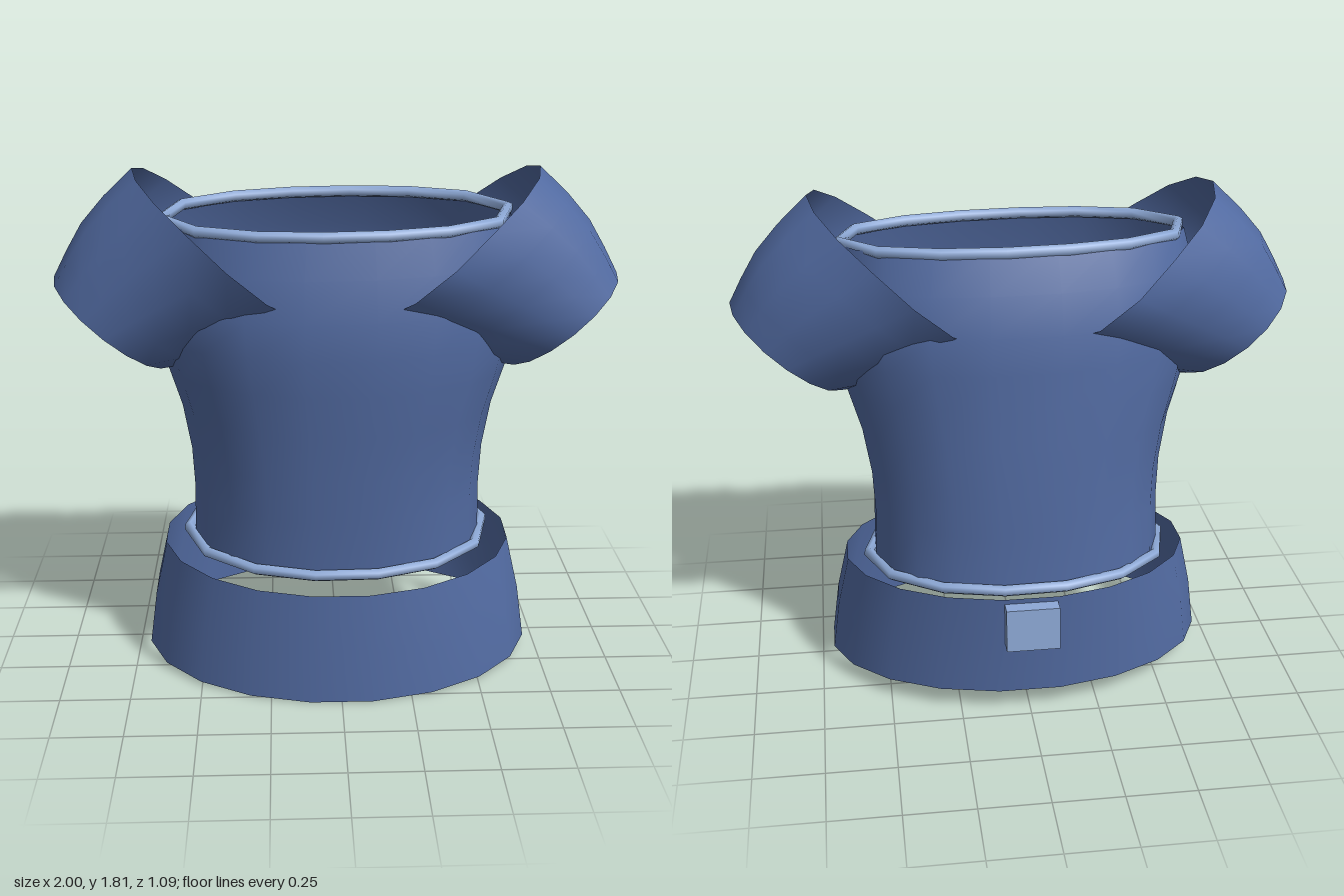
import * as THREE from 'three';

const cloth = new THREE.MeshStandardMaterial({ color: 0x526ba2, side: THREE.DoubleSide });
const trim = new THREE.MeshStandardMaterial({ color: 0x8fabd9 });

// Tilted oval ring: half width a, z range back..front, mean height y, skew turns it slightly
function oval({ y, a, front, back, n = 2, skew = 0, sides = 20 }) {
  const ring = [];
  const b = (front - back) / 2, mid = (front + back) / 2;
  const bend = (v) => Math.sign(v) * Math.pow(Math.abs(v), 2 / n);
  for (let i = 0; i < sides; i++) {
    const t = ((i + 0.5) / sides) * Math.PI * 2;
    const x = bend(Math.sin(t)) * a;
    const z = mid + bend(Math.cos(t)) * b * 1.01 + skew * x;
    ring.push(new THREE.Vector3(x, y - 0.08 * z, z));
  }
  return ring;
}

// Open smooth skin through a list of rings
function loft(rings) {
  const pos = rings.flatMap((r) => r.flatMap((p) => [p.x, p.y, p.z]));
  const index = [];
  const n = rings[0].length;
  for (let j = 0; j < rings.length - 1; j++) {
    for (let i = 0; i < n; i++) {
      const k = (i + 1) % n;
      const a = j * n + i, b = j * n + k, c = a + n, d = b + n;
      index.push(a, b, d, a, d, c);
    }
  }
  const g = new THREE.BufferGeometry();
  g.setAttribute('position', new THREE.Float32BufferAttribute(pos, 3));
  g.setIndex(index);
  g.computeVertexNormals();
  return g;
}

function piping(spec) {
  const ring = oval({ ...spec, sides: 14 });
  return new THREE.TubeGeometry(new THREE.CatmullRomCurve3(ring, true), 14, 0.021, 6, true);
}

// Sleeve: rings around a slanted axis; depth narrows each ring in z,
// flare pulls the front and back of the wide end out into pointed tips
function sleeveGeometry(side) {
  const sides = 16;
  const across = new THREE.Vector3(0.765 * side, 0.644, 0);
  const stations = [
    { x: 0.375, y: 1.53, z: 0.05, r: 0.437, depth: 0.83, flare: 0.18 },
    { x: 0.5, y: 1.452, z: 0.046, r: 0.408, depth: 0.81, flare: 0.08 },
    { x: 0.615, y: 1.385, z: 0.046, r: 0.365, depth: 0.83, flare: 0.02 },
    { x: 0.715, y: 1.325, z: 0.053, r: 0.308, depth: 0.9, flare: 0 },
    { x: 0.805, y: 1.27, z: 0.06, r: 0.252, depth: 1, flare: 0 },
  ];
  return loft(stations.map(({ x, y, z, r, depth, flare }) => {
    const ring = [];
    for (let i = 0; i < sides; i++) {
      const t = (-side * i / sides) * Math.PI * 2;
      const c = Math.cos(t);
      const width = r * (depth + flare * Math.exp(-(((c + 0.25) / 0.35) ** 2)));
      ring.push(new THREE.Vector3(x * side, y, z + Math.sin(t) * width)
        .addScaledVector(across, c * r));
    }
    return ring;
  }));
}

export function createModel() {
  const model = new THREE.Group();
  const add = (name, geometry, material) => {
    const mesh = new THREE.Mesh(geometry, material);
    mesh.name = name;
    model.add(mesh);
    return mesh;
  };

  // Torso, hem to neckline
  const torso = [
    { y: 0.452, a: 0.535, front: 0.378, back: -0.418 },
    { y: 0.65, a: 0.53, front: 0.39, back: -0.405 },
    { y: 0.8, a: 0.537, front: 0.4, back: -0.395 },
    { y: 0.97, a: 0.565, front: 0.412, back: -0.382 },
    { y: 1.12, a: 0.61, front: 0.425, back: -0.368 },
    { y: 1.25, a: 0.645, front: 0.433, back: -0.36, skew: -0.02 },
    { y: 1.38, a: 0.662, front: 0.43, back: -0.348, skew: -0.03 },
    { y: 1.52, a: 0.65, front: 0.405, back: -0.31, skew: -0.04 },
    { y: 1.655, a: 0.615, front: 0.37, back: -0.255, skew: -0.04 },
  ];
  add('torso', loft(torso.map((s) => oval({ n: 2.2, ...s }))), cloth);

  // Piping on the neckline and waist
  add('neckTrim', piping({ y: 1.655, a: 0.615, front: 0.365, back: -0.25, n: 2.2, skew: -0.04 }), trim);
  add('waistTrim', piping({ y: 0.45, a: 0.555, front: 0.393, back: -0.43, n: 2.1 }), trim);

  // Sleeves
  add('leftSleeve', sleeveGeometry(1), cloth);
  add('rightSleeve', sleeveGeometry(-1), cloth);

  // Flared band hanging below the waist
  const band = [
    { y: 0.043, a: 0.715, front: 0.547, back: -0.465 },
    { y: 0.24, a: 0.688, front: 0.537, back: -0.472 },
    { y: 0.437, a: 0.643, front: 0.516, back: -0.477 },
  ];
  add('hipBand', loft(band.map(oval)), cloth);

  // Small block on the back of the band
  const clasp = add('backClasp', new THREE.BoxGeometry(0.19, 0.16, 0.057), trim);
  clasp.position.set(0, 0.378, -0.507);
  clasp.rotation.x = 0.07;

  return model;
}
